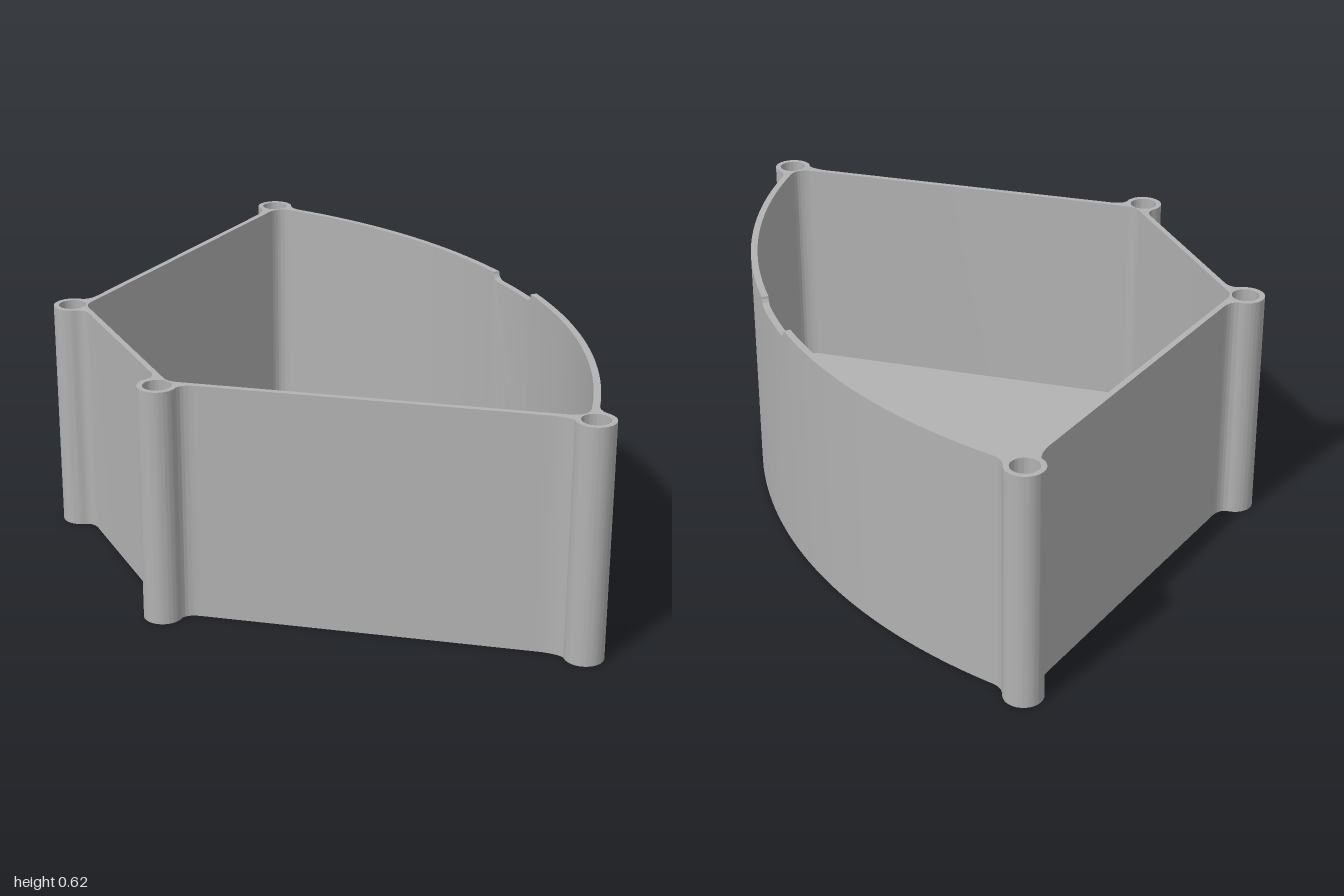
import * as THREE from 'three';
import { toCreasedNormals } from 'three/addons/utils/BufferGeometryUtils.js';

const HEIGHT = 0.625, FLOOR = 0.022;
const ARC_X = -0.94, R_OUT = 1.555, R_IN = 1.537; // curved wall
const NOTCH = 0.105, NOTCH_R = 0.022;             // half width, depth
const BACK = [-0.567, 0.325], FRONT = [0.29, 0.95], BOSS_R = 0.05, HOLE_R = 0.036;

// Half of the outer outline: curved wall, corner post, straight side, corner post, short wall
function outerHalf(startS) {
  const p = new THREE.Path();
  p.absarc(ARC_X, 0, R_OUT, Math.asin(startS / R_OUT), Math.asin(0.88 / R_OUT), false);
  p.quadraticCurveTo(0.325, 0.905, 0.337, 0.933);
  p.absarc(...FRONT, BOSS_R, -Math.PI / 9, Math.PI * 10 / 9, false);
  p.quadraticCurveTo(0.235, 0.905, 0.19, 0.873);
  p.lineTo(-0.48, 0.37);
  p.quadraticCurveTo(-0.512, 0.346, -0.532, 0.36);
  p.absarc(...BACK, BOSS_R, Math.PI / 4, Math.PI * 17 / 12, false);
  p.quadraticCurveTo(-0.55, 0.27, -0.55, 0.235);
  return p.getPoints(16);
}

// Half of the inner outline
function innerHalf(startS) {
  const p = new THREE.Path();
  p.absarc(ARC_X, 0, R_IN, Math.asin(startS / R_IN), Math.asin(0.885 / R_IN), false);
  p.quadraticCurveTo(0.3, 0.908, 0.282, 0.908);
  p.quadraticCurveTo(0.265, 0.908, 0.245, 0.894);
  p.lineTo(-0.515, 0.324);
  p.quadraticCurveTo(-0.535, 0.308, -0.535, 0.285);
  return p.getPoints(16);
}

const mirror = (pts) => pts.map((p) => new THREE.Vector2(p.x, -p.y)).reverse();

// Extrude a plan shape upwards from height y
function slab(shape, y, height) {
  const g = new THREE.ExtrudeGeometry(shape, { depth: height, bevelEnabled: false, curveSegments: 24 });
  g.rotateX(-Math.PI / 2).translate(0, y, 0);
  return toCreasedNormals(g, 0.5);
}

export function createModel() {
  const grey = new THREE.MeshStandardMaterial({ color: 0xb2b2b2 });
  grey.name = 'grey';
  const model = new THREE.Group();
  model.name = 'wedgeTray';
  const add = (name, geometry) => {
    const mesh = new THREE.Mesh(geometry, grey);
    mesh.name = name;
    model.add(mesh);
  };

  // Floor
  const full = outerHalf(0);
  add('floor', slab(new THREE.Shape([...full, ...mirror(full).slice(0, -1)]), 0, FLOOR));

  // Walls and corner posts with screw holes, open where the notched panel sits
  const outer = outerHalf(NOTCH), inner = innerHalf(NOTCH);
  const loop = [...outer, ...mirror(outer)];
  const back = [...inner, ...mirror(inner)].reverse();
  const walls = new THREE.Shape([...loop, ...back]);
  for (const [x, s] of [BACK, FRONT]) {
    for (const side of [1, -1]) {
      walls.holes.push(new THREE.Path().absarc(x, s * side, HOLE_R, 0, Math.PI * 2, true));
    }
  }
  add('wallsAndPosts', slab(walls, FLOOR, HEIGHT - FLOOR));

  // Middle of the curved wall, with a round-cornered finger notch in its top edge
  const panel = new THREE.Shape();
  panel.moveTo(-NOTCH, FLOOR);
  for (let i = 1; i <= 8; i++) panel.lineTo(-NOTCH + (i / 4) * NOTCH, FLOOR);
  panel.lineTo(NOTCH, HEIGHT);
  panel.absarc(NOTCH - NOTCH_R, HEIGHT, NOTCH_R, 0, -Math.PI / 2, true);
  for (let i = 1; i < 8; i++) panel.lineTo((NOTCH - NOTCH_R) * (1 - i / 4), HEIGHT - NOTCH_R);
  panel.absarc(-NOTCH + NOTCH_R, HEIGHT, NOTCH_R, -Math.PI / 2, -Math.PI, true);
  const g = new THREE.ExtrudeGeometry(panel, { depth: R_OUT - R_IN, bevelEnabled: false, curveSegments: 8 });
  g.rotateY(Math.PI / 2);
  const pos = g.attributes.position;
  for (let i = 0; i < pos.count; i++) { // bend onto the arc
    pos.setX(i, ARC_X + Math.sqrt((R_IN + pos.getX(i)) ** 2 - pos.getZ(i) ** 2));
  }
  add('notchedPanel', toCreasedNormals(g, 0.5));

  return model;
}
